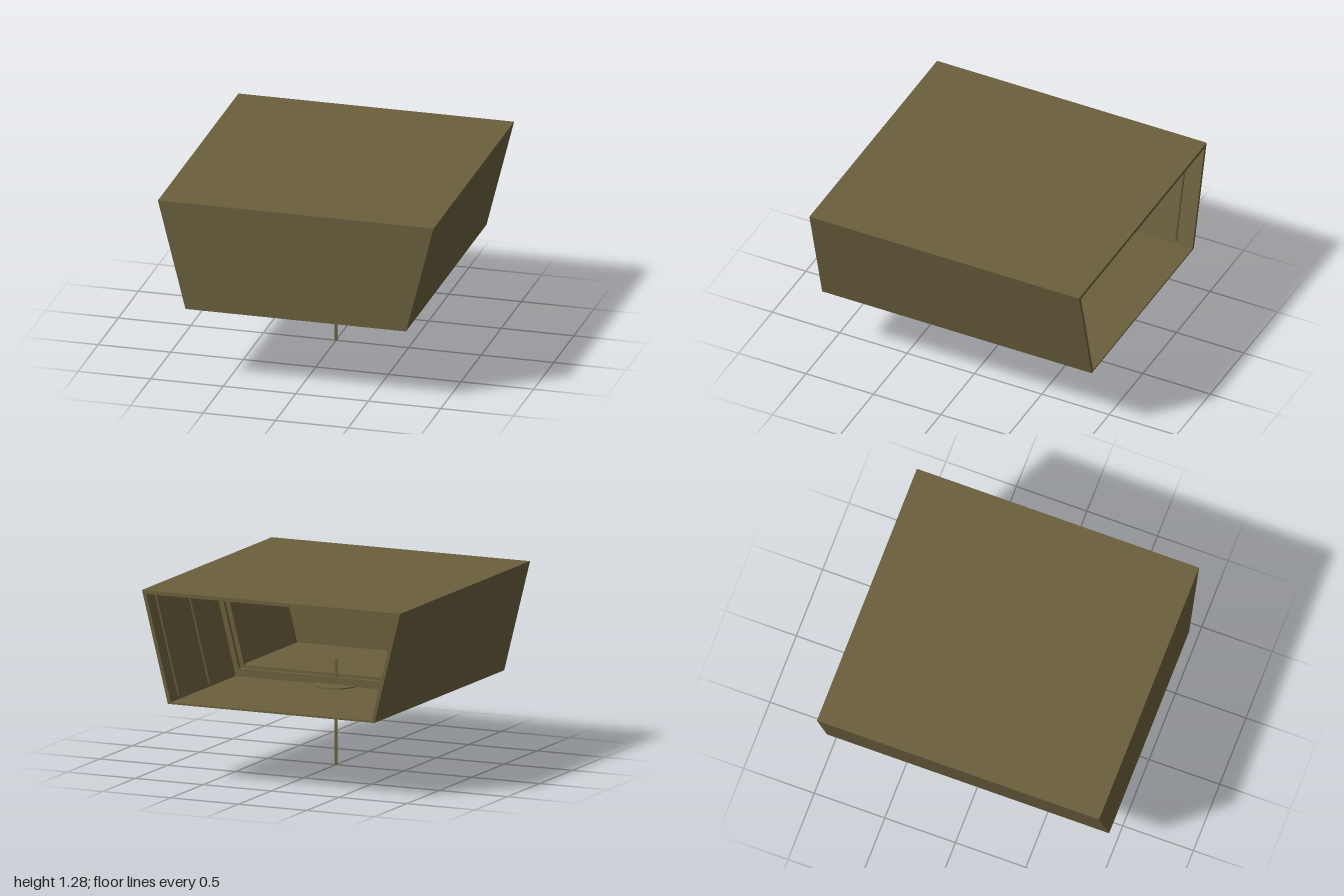
import * as THREE from 'three';

const BOTTOM = 0.525, TOP = 1.28, WALL = 0.025;

// Half width of the flared body at height y
const halfWidth = (y) => 0.76 + (0.19 * (y - BOTTOM)) / (TOP - BOTTOM);

// Corners of the flared cross-section, inset from the sides
function section(y0, y1, inset) {
  const a = halfWidth(y0) - inset, b = halfWidth(y1) - inset;
  return [[-a, y0], [a, y0], [b, y1], [-b, y1]].map(([x, y]) => new THREE.Vector2(x, y));
}

export function createModel() {
  const group = new THREE.Group();
  const olive = new THREE.MeshStandardMaterial({ color: 0x6b603d });
  olive.name = 'olive';

  const add = (name, geometry, x = 0, y = 0, z = 0) => {
    const mesh = new THREE.Mesh(geometry, olive);
    mesh.name = name;
    mesh.position.set(x, y, z);
    group.add(mesh);
    return mesh;
  };
  const extrude = (shape, depth) => new THREE.ExtrudeGeometry(shape, { depth, bevelEnabled: false });

  // Roof and sloping side walls, open at the back and below
  const o = section(BOTTOM, TOP, 0), i = section(BOTTOM, TOP - WALL, WALL);
  const shell = new THREE.Shape([o[0], i[0], i[3], i[2], i[1], o[1], o[2], o[3]]);
  add('roofAndSideWalls', extrude(shell, 2), 0, 0, -1);

  // Closed front
  const front = new THREE.Shape(section(BOTTOM, TOP - WALL, WALL));
  add('frontWall', extrude(front, WALL), 0, 0, 1 - WALL);

  // Low rear floor and raised front floor
  add('rearFloor', extrude(new THREE.Shape(section(BOTTOM, BOTTOM + 0.012, WALL)), 1), 0, 0, -1);
  add('frontFloor', extrude(new THREE.Shape(section(0.575, 0.59, WALL)), 1 - WALL));

  // Stepped frame dividing the two compartments
  for (const [k, z] of [[0, 0], [1, 0.03]]) {
    const frame = new THREE.Shape(section(BOTTOM, TOP - WALL, WALL));
    const inset = 0.06 + k * 0.03;
    frame.holes.push(new THREE.Path(section(0.575 + k * 0.035, TOP - 0.05, inset)));
    add('dividerFrame', extrude(frame, 0.03), 0, 0, z);
  }

  // Slim guide ribs lying on the inside of both side walls
  const y0 = 0.56, y1 = TOP - WALL;
  for (const side of [-1, 1]) {
    for (const z of [-0.87, -0.4]) {
      const x0 = halfWidth(y0) - WALL, x1 = halfWidth(y1) - WALL;
      const rib = add('guideRib', new THREE.CylinderGeometry(0.012, 0.012, Math.hypot(x1 - x0, y1 - y0), 8),
        (side * (x0 + x1)) / 2, (y0 + y1) / 2, z);
      rib.rotation.z = -side * Math.atan2(x1 - x0, y1 - y0);
    }
  }

  // Round hub through the floor, with a thin bar beneath
  add('hub', new THREE.CylinderGeometry(0.145, 0.145, 0.045, 48), 0, 0.5225, 0);
  add('underBar', new THREE.BoxGeometry(0.02, 0.006, 0.94), 0, 0.523, 0);

  // Flat hanging rod
  add('rod', new THREE.BoxGeometry(0.016, 0.72, 0.006), 0, 0.36, 0);

  return group;
}
